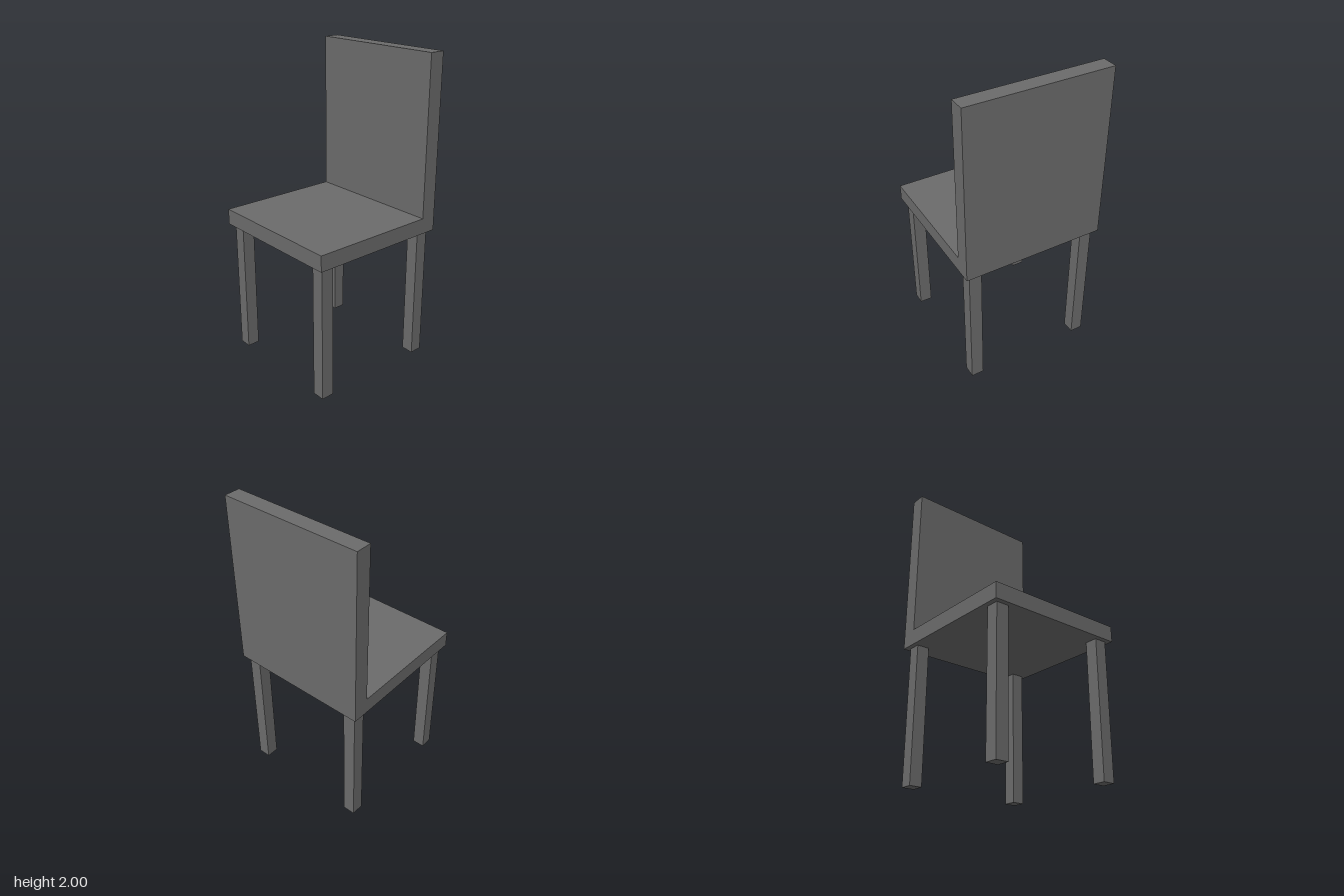
import * as THREE from 'three';

const HALF = 0.464;        // half width and half depth of the seat
const SEAT_BOTTOM = 0.878;
const SEAT_TOP = 0.98;
const TOP = 2;
const BACK_FRONT = -0.361; // front face of the backrest
const LEG = 0.082;
const LEG_POS = 0.392;

export function createModel() {
  const chair = new THREE.Group();
  chair.name = 'chair';
  const material = new THREE.MeshStandardMaterial({ color: 0x6b6b6b });

  // Seat and backrest: one L-shaped side profile (z, y) extruded across the width
  const profile = new THREE.Shape([
    [-HALF, SEAT_BOTTOM], [HALF, SEAT_BOTTOM], [HALF, SEAT_TOP],
    [BACK_FRONT, SEAT_TOP], [BACK_FRONT, TOP], [-HALF, TOP],
  ].map(([z, y]) => new THREE.Vector2(z, y)));
  const bodyGeometry = new THREE.ExtrudeGeometry(profile, { depth: 2 * HALF, bevelEnabled: false });
  bodyGeometry.translate(0, 0, -HALF).rotateY(-Math.PI / 2);
  const body = new THREE.Mesh(bodyGeometry, material);
  body.name = 'seatAndBackrest';
  chair.add(body);

  // Four square legs
  const legGeometry = new THREE.BoxGeometry(LEG, SEAT_BOTTOM, LEG);
  for (const [side, x] of [['Left', 1], ['Right', -1]]) {
    for (const [end, z] of [['front', 1], ['back', -1]]) {
      const leg = new THREE.Mesh(legGeometry, material);
      leg.name = `${end}${side}Leg`;
      leg.position.set(x * LEG_POS, SEAT_BOTTOM / 2, z * LEG_POS);
      chair.add(leg);
    }
  }

  return chair;
}
